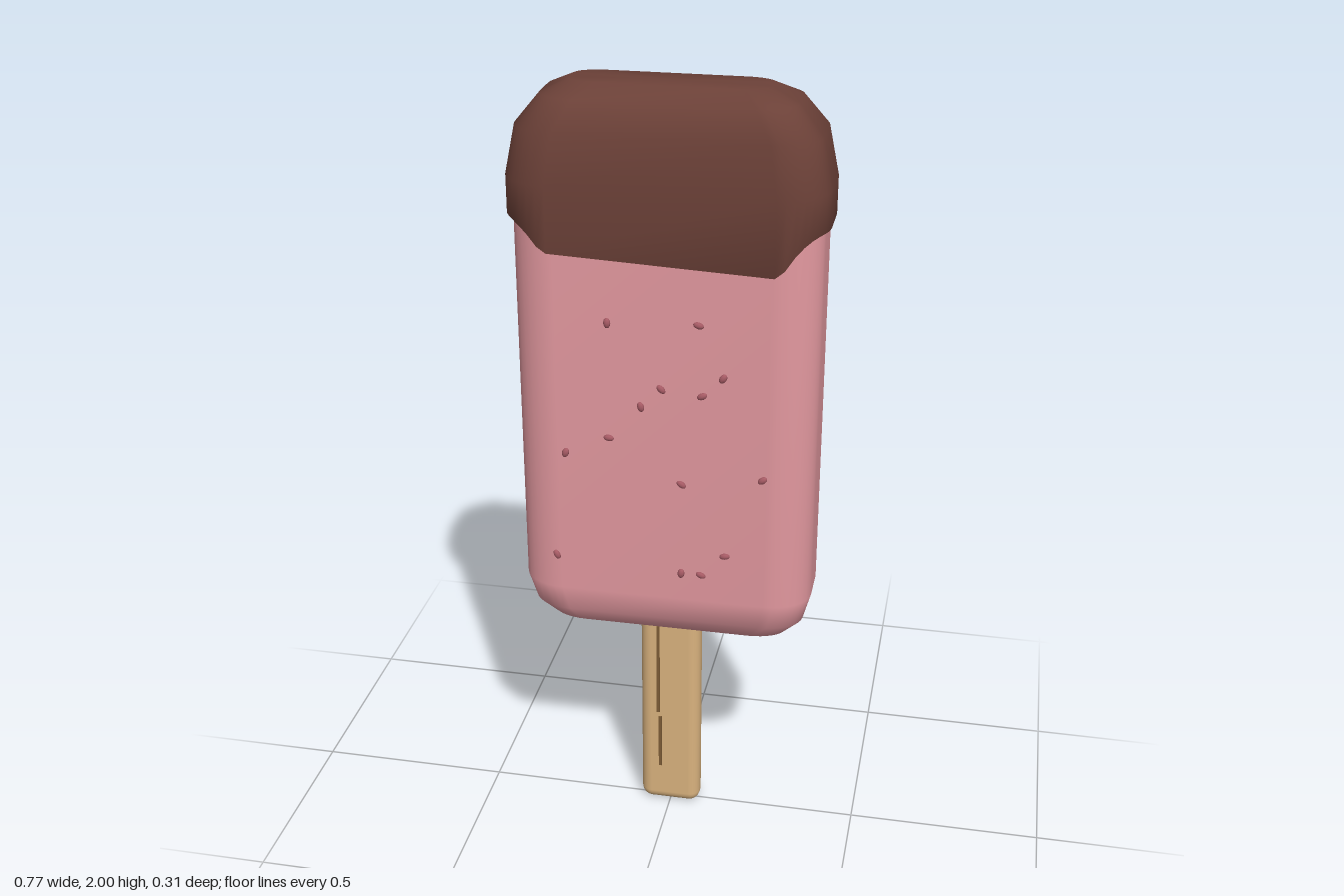
import * as THREE from 'three';
import { RoundedBoxGeometry } from 'three/addons/geometries/RoundedBoxGeometry.js';

const mat = (name, color) => {
  const m = new THREE.MeshStandardMaterial({ color });
  m.name = name;
  return m;
};

// Rounded rectangle in the ground plane: half sizes and corner radii
function loop(hx, hz, rx, rz, steps = 8) {
  const pts = [];
  [[1, 1], [-1, 1], [-1, -1], [1, -1]].forEach(([sx, sz], q) => {
    for (let i = 0; i <= steps; i++) {
      const a = (q + i / steps) * Math.PI / 2;
      pts.push([sx * (hx - rx) + rx * Math.cos(a), sz * (hz - rz) + rz * Math.sin(a)]);
    }
  });
  return pts;
}

// Skins rows [halfX, halfZ, y or y(x, z)] from bottom to top
function loft(rows, closeBottom) {
  const pos = [], idx = [];
  let n = 0;
  for (const [hx, hz, y] of rows) {
    const pts = loop(hx, hz, hx * 0.3, hz * 0.65);
    n = pts.length;
    for (const [x, z] of pts) pos.push(x, typeof y === 'function' ? y(x, z) : y, z);
  }
  for (let r = 0; r < rows.length - 1; r++) {
    for (let i = 0; i < n; i++) {
      const a = r * n + i, b = r * n + (i + 1) % n;
      idx.push(a, a + n, b, b, a + n, b + n);
    }
  }
  const fan = (row, up) => {
    const c = pos.length / 3;
    pos.push(0, rows[row][2], 0);
    for (let i = 0; i < n; i++) {
      const a = row * n + i, b = row * n + (i + 1) % n;
      idx.push(c, up ? b : a, up ? a : b);
    }
  };
  fan(rows.length - 1, true);
  if (closeBottom) fan(0, false);
  const g = new THREE.BufferGeometry();
  g.setAttribute('position', new THREE.Float32BufferAttribute(pos, 3));
  g.setIndex(idx);
  g.computeVertexNormals();
  return g;
}

// Lower edge of the coating: low on the broad faces, arched over the ends
function rim(x, z) {
  const t = THREE.MathUtils.clamp((Math.abs(x) - 0.28) / 0.1, 0, 1);
  const low = z > 0 ? 1.607 - 0.045 * x : 1.605 - 0.03 * x;
  return THREE.MathUtils.lerp(low, 1.69, z > 0 ? 1 - (1 - t) ** 2 : t ** 1.3);
}

export function createModel() {
  const pink = mat('pink ice', 0xe2989f);
  const chocolate = mat('chocolate', 0x6c4138);
  const wood = mat('wood', 0xd9b27e);
  const grainMat = mat('wood grain', 0x7d5c36);
  const seedMat = mat('berry seed', 0xa85c66);

  const group = new THREE.Group();
  const add = (name, geometry, material, x = 0, y = 0, z = 0) => {
    const m = new THREE.Mesh(geometry, material);
    m.name = name;
    m.position.set(x, y, z);
    group.add(m);
    return m;
  };

  // Ice bar
  add('iceBar', loft([
    [0.245, 0.045, 0.572], [0.305, 0.08, 0.592], [0.35, 0.115, 0.64],
    [0.37, 0.135, 0.715], [0.37, 0.135, 1.78], [0.34, 0.11, 1.9]
  ], true), pink);

  // Chocolate coating, with a lip turned in to meet the bar
  add('chocolateCoating', loft([
    [0.365, 0.13, (x, z) => rim(x, z) + 0.008],
    [0.383, 0.155, rim],
    [0.383, 0.155, 1.78], [0.358, 0.145, 1.9],
    [0.3, 0.11, 1.97], [0.235, 0.06, 2.0]
  ], false), chocolate);

  // Stick with two grain lines
  add('stick', new RoundedBoxGeometry(0.16, 0.64, 0.07, 4, 0.03), wood, 0, 0.32, 0);
  for (const [x, y, h] of [[-0.03, 0.43, 0.27], [-0.025, 0.2, 0.16]]) {
    add('grainLine', new THREE.BoxGeometry(0.008, h, 0.008), grainMat, x, y, 0.035);
  }

  // Seeds pressed into the front face
  const seedGeo = new THREE.SphereGeometry(0.011, 8, 6);
  const seeds = [
    [-0.13, 1.45], [0.09, 1.46], [0.15, 1.33], [0, 1.29], [0.1, 1.28], [-0.05, 1.24], [-0.13, 1.15],
    [-0.24, 1.1], [0.05, 1.04], [0.25, 1.07], [-0.27, 0.81], [0.16, 0.85], [0.05, 0.79], [0.1, 0.79]
  ];
  seeds.forEach(([x, y], i) => {
    const s = add('seed', seedGeo, seedMat, x, y, 0.135);
    s.scale.set(0.8, 1.2, 0.6);
    s.rotation.z = i * 1.3;
  });
  return group;
}
